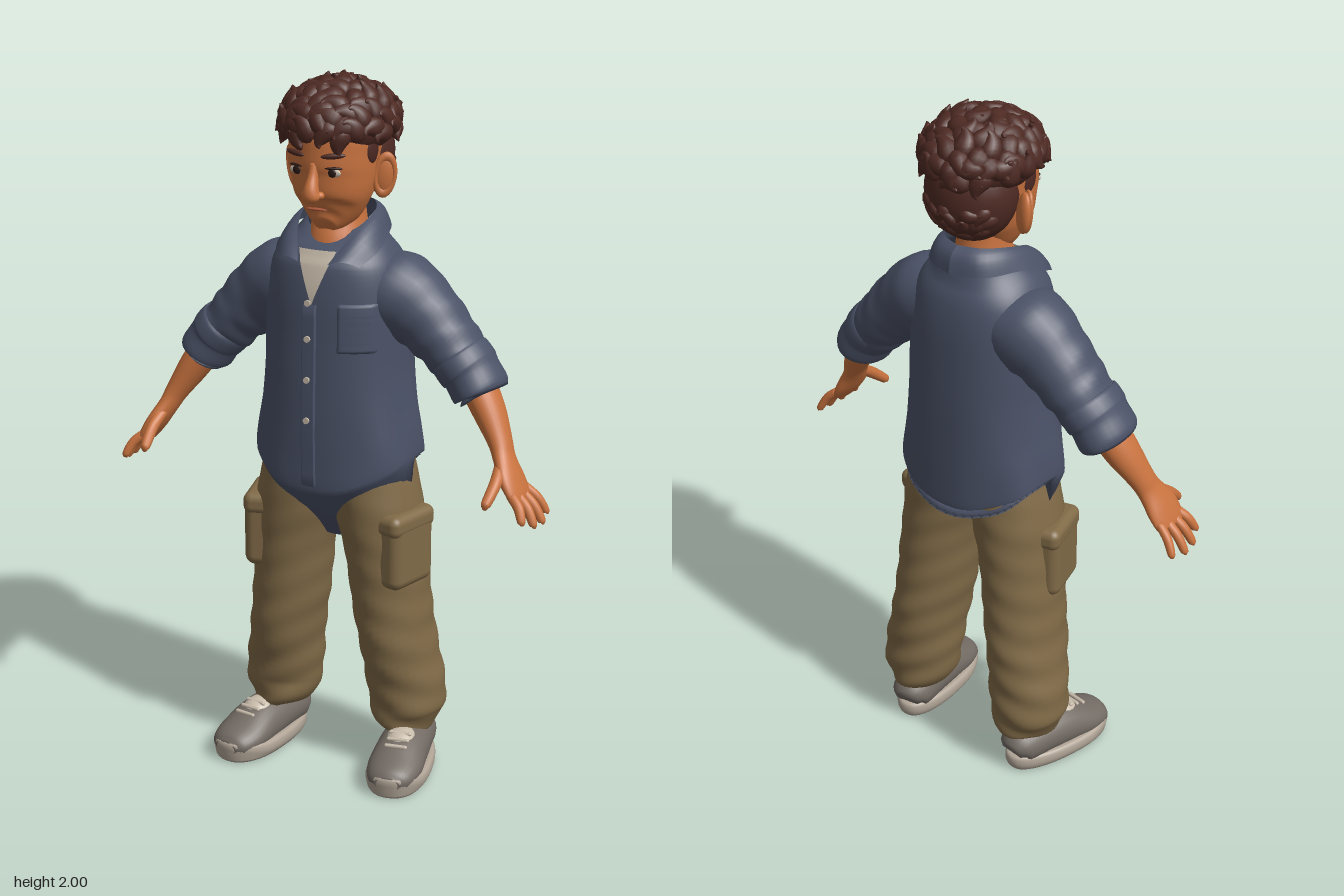
import * as THREE from 'three';
import { RoundedBoxGeometry } from 'three/addons/geometries/RoundedBoxGeometry.js';

const V = (x, y, z) => new THREE.Vector3(x, y, z);
const mat = (name, color, side = THREE.FrontSide) => {
  const m = new THREE.MeshStandardMaterial({ color, side });
  m.name = name;
  return m;
};

// Rows are [x, y, z, ra, rb]: a smooth resampling of centres and radii
function smooth(rows, n) {
  const c = new THREE.CatmullRomCurve3(rows.map(r => V(r[0], r[1], r[2])));
  const s = new THREE.CatmullRomCurve3(rows.map(r => V(r[3], r[4], 0)));
  c.curveType = s.curveType = 'catmullrom';
  return Array.from({ length: n + 1 }, (_, i) => {
    const p = c.getPoint(i / n), r = s.getPoint(i / n);
    return [p.x, p.y, p.z, Math.max(r.x, 0.001), Math.max(r.y, 0.001)];
  });
}

function build(pos, idx) {
  const g = new THREE.BufferGeometry();
  g.setAttribute('position', new THREE.Float32BufferAttribute(pos, 3));
  g.setIndex(idx);
  g.computeVertexNormals();
  return g;
}

// Superelliptical tube through rows; ra runs along ref, rb across it
function loft(rows, { n = 24, seg = 28, ref = V(0, 0, 1), pow = 2, caps = true, bend } = {}) {
  const rings = smooth(rows, n), pos = [], idx = [];
  const pt = i => V(...rings[Math.min(Math.max(i, 0), n)].slice(0, 3));
  const se = w => Math.sign(w) * Math.abs(w) ** (2 / pow);
  rings.forEach((r, i) => {
    const t = pt(i + 1).sub(pt(i - 1)).normalize();
    const u = ref.clone().addScaledVector(t, -ref.dot(t)).normalize();
    const v = t.clone().cross(u);
    for (let j = 0; j < seg; j++) {
      const a = j / seg * Math.PI * 2;
      const p = pt(i).addScaledVector(u, r[3] * se(Math.cos(a))).addScaledVector(v, r[4] * se(Math.sin(a)));
      if (bend) bend(p, a, i / n);
      pos.push(p.x, p.y, p.z);
      if (i < n) {
        const A = i * seg + j, B = i * seg + (j + 1) % seg;
        idx.push(A, B, B + seg, A, B + seg, A + seg);
      }
    }
  });
  if (caps) {
    const k = pos.length / 3, last = n * seg;
    pos.push(...pt(0).toArray(), ...pt(n).toArray());
    for (let j = 0; j < seg; j++) {
      const q = (j + 1) % seg;
      idx.push(k, q, j, k + 1, last + j, last + q);
    }
  }
  return build(pos, idx);
}

// Open sheet from a function of u and v
function sheet(fn, nu = 12, nv = 12) {
  const pos = [], idx = [], w = nu + 1;
  for (let j = 0; j <= nv; j++) for (let i = 0; i <= nu; i++) {
    pos.push(...fn(i / nu, j / nv));
    if (i < nu && j < nv) {
      const a = j * w + i;
      idx.push(a, a + 1, a + w + 1, a, a + w + 1, a + w);
    }
  }
  return build(pos, idx);
}

const ball = (x, y, z, rx, ry, rz) => new THREE.SphereGeometry(1, 28, 20).scale(rx, ry, rz).translate(x, y, z);

function mirrored(geo) {
  const g = geo.clone().scale(-1, 1, 1);
  if (!g.index) g.setIndex([...Array(g.attributes.position.count).keys()]);
  const a = g.index.array;
  for (let i = 0; i < a.length; i += 3) [a[i + 1], a[i + 2]] = [a[i + 2], a[i + 1]];
  return g;
}

export function createModel() {
  const model = new THREE.Group();
  model.name = 'standingMan';
  const skin = mat('skin', 0xc9733f), hair = mat('hair', 0x4e2a23);
  const shirt = mat('shirt', 0x4b5267, THREE.DoubleSide), pants = mat('trousers', 0x806a47);
  const cream = mat('cream', 0xc8bcab, THREE.DoubleSide), shoe = mat('shoeGrey', 0x736b64);
  const sole = mat('sole', 0xb0a496), dark = mat('eyeDark', 0x2b1a15), lip = mat('lip', 0xa9573a);
  const add = (name, geo, m) => {
    const mesh = new THREE.Mesh(geo, m);
    mesh.name = name;
    model.add(mesh);
  };
  const pair = (name, geo, m) => {
    add(name + 'Left', geo, m);
    add(name + 'Right', mirrored(geo), m);
  };

  // Shirt body with a curved hem and a neckline lower at the front
  const row = (y, rx, f, b) => [0, y, (f + b) / 2, (f - b) / 2, rx];
  const body = [row(0.965, 0.215, 0.135, -0.185), row(0.95, 0.236, 0.158, -0.203), row(1.02, 0.23, 0.16, -0.205),
    row(1.1, 0.217, 0.16, -0.203), row(1.2, 0.206, 0.157, -0.2), row(1.3, 0.204, 0.153, -0.196),
    row(1.4, 0.2, 0.15, -0.19), row(1.48, 0.187, 0.14, -0.178), row(1.535, 0.16, 0.12, -0.165),
    row(1.585, 0.115, 0.085, -0.148), row(1.63, 0.095, 0.05, -0.13)];
  add('shirtBody', loft(body, { n: 50, seg: 56, pow: 2.3, caps: false, bend: (p, a) => {
    const low = THREE.MathUtils.clamp((1.2 - p.y) / 0.25, 0, 1), front = Math.max(0, Math.cos(a));
    p.x += 0.004 * low * Math.sin(a * 7 + p.y * 14);
    p.z += 0.003 * low * Math.cos(a * 6 - p.y * 17);
    if (p.y > 1.5) p.y -= (p.y - 1.5) * 0.5 * front;
    p.y -= 0.085 * low * Math.cos(a) ** 2;
  } }), shirt);

  // Sheets lying on the shirt front
  const bodyRows = smooth(body.slice(1), 60);
  const onShirt = (x, y, off) => {
    const k = bodyRows.find(r => r[1] >= y) || bodyRows[60];
    return [x, y, k[2] + k[3] * (1 - Math.min(1, Math.abs(x / k[4])) ** 2.3) ** (1 / 2.3) + off];
  };
  const panel = (x0, x1, y0, y1, off) => sheet((u, v) => {
    const edge = u === 0 || u === 1 || v === 0 || v === 1;
    return onShirt(x0 + (x1 - x0) * u, y0 + (y1 - y0) * v, edge ? -0.004 : off);
  }, 14, 24);
  add('placket', panel(-0.032, 0.014, 0.872, 1.41, 0.006), shirt);
  add('chestPocket', panel(0.07, 0.17, 1.27, 1.41, 0.009), shirt);
  add('undershirt', sheet((u, v) => onShirt((2 * u - 1) * 0.056 * v, 1.4 + 0.145 * v, 0.007), 10, 14), cream);
  for (const y of [1.405, 1.305, 1.19, 1.075]) {
    const p = onShirt(-0.01, y, 0.009);
    add('button', new THREE.CylinderGeometry(0.009, 0.009, 0.006, 12).rotateX(Math.PI / 2).translate(...p), cream);
  }

  // Collar wings
  const top = new THREE.CatmullRomCurve3([V(0, 1.645, -0.132), V(0.062, 1.643, -0.105), V(0.1, 1.63, -0.03), V(0.086, 1.595, 0.06), V(0.045, 1.515, 0.147)]);
  const low = new THREE.CatmullRomCurve3([V(0, 1.575, -0.17), V(0.09, 1.578, -0.14), V(0.14, 1.575, -0.04), V(0.15, 1.54, 0.06), V(0.125, 1.51, 0.118)]);
  pair('collar', sheet((u, v) => {
    const p = low.getPoint(u).lerp(top.getPoint(u), v);
    p.y += 0.012 * Math.sin(v * Math.PI);
    p.z += 0.008 * Math.sin(v * Math.PI) * Math.sign(u - 0.5);
    return p.toArray();
  }, 20, 6), shirt);

  // Sleeves with soft folds and rolled cuffs
  pair('sleeve', loft([[0.08, 1.43, -0.03, 0.12, 0.09], [0.17, 1.405, -0.035, 0.122, 0.12], [0.25, 1.355, -0.037, 0.105, 0.103],
    [0.32, 1.29, -0.036, 0.1, 0.086], [0.38, 1.225, -0.03, 0.09, 0.077]], { n: 36, bend: (p, a, t) => {
    p.y += 0.006 * t * Math.sin(t * 34 + Math.cos(a) * 2);
  } }), shirt);
  pair('cuff', loft([[0.35, 1.265, -0.031, 0.07, 0.06], [0.355, 1.258, -0.031, 0.097, 0.08], [0.385, 1.225, -0.028, 0.1, 0.082],
    [0.395, 1.213, -0.027, 0.094, 0.077], [0.422, 1.173, -0.024, 0.097, 0.077], [0.428, 1.163, -0.023, 0.085, 0.065], [0.42, 1.175, -0.024, 0.05, 0.045]]), shirt);

  // Forearms, hands, fingers and thumbs
  pair('forearm', loft([[0.4, 1.21, -0.025, 0.06, 0.05], [0.455, 1.125, -0.005, 0.054, 0.044], [0.5, 1.05, 0.02, 0.042, 0.032],
    [0.52, 1.01, 0.035, 0.043, 0.027], [0.55, 0.96, 0.052, 0.06, 0.025], [0.578, 0.915, 0.058, 0.057, 0.018], [0.585, 0.905, 0.058, 0.035, 0.01]]), skin);
  const finger = (a, b, r) => loft([[...a, r, r], [(a[0] + b[0]) / 2 + 0.006, (a[1] + b[1]) / 2 + 0.004, (a[2] + b[2]) / 2, r, r],
    [...b, r * 0.8, r * 0.8], [b[0], b[1] - 0.006, b[2], r * 0.3, r * 0.3]], { n: 12, seg: 12 });
  [[[0.572, 0.93, 0.012], [0.628, 0.862, -0.006], 0.013], [[0.574, 0.925, 0.042], [0.636, 0.852, 0.044], 0.014],
    [[0.574, 0.925, 0.073], [0.63, 0.855, 0.09], 0.014], [[0.568, 0.93, 0.1], [0.612, 0.872, 0.13], 0.014],
    [[0.522, 1.0, 0.06], [0.524, 0.92, 0.168], 0.017]].forEach((f, i) => pair(i < 4 ? 'finger' : 'thumb', finger(...f), skin));

  // Trousers
  add('trouserSeat', ball(0, 0.91, -0.02, 0.2, 0.135, 0.145), pants);
  pair('trouserLeg', loft([[0.205, 0.125, -0.055, 0.085, 0.07], [0.205, 0.135, -0.055, 0.104, 0.086], [0.2, 0.17, -0.058, 0.117, 0.1],
    [0.198, 0.22, -0.06, 0.118, 0.112], [0.188, 0.3, -0.053, 0.125, 0.108], [0.174, 0.4, -0.042, 0.137, 0.104], [0.16, 0.5, -0.035, 0.135, 0.108],
    [0.15, 0.6, -0.03, 0.136, 0.11], [0.138, 0.7, -0.025, 0.139, 0.112], [0.122, 0.8, -0.02, 0.144, 0.12], [0.105, 0.9, -0.02, 0.148, 0.112],
    [0.1, 1, -0.02, 0.145, 0.1]], { n: 60, seg: 36, bend: (p, a, t) => {
    const k = 0.006 * Math.exp(-t * 2.2) * Math.sin(p.y * 62 + Math.sin(a) * 3);
    p.x += k * Math.sin(a);
    p.z += k * 1.3 * Math.cos(a);
  } }), pants);
  pair('cargoPocket', new RoundedBoxGeometry(0.09, 0.2, 0.17, 4, 0.03).rotateY(-0.25).translate(0.219, 0.685, 0.02), pants);
  pair('pocketFlap', new RoundedBoxGeometry(0.096, 0.065, 0.182, 4, 0.025).rotateY(-0.25).translate(0.217, 0.775, 0.02), pants);

  // Shoes, turned slightly outwards
  const place = g => g.rotateY(0.17).translate(0.228, 0, 0.03);
  const up = V(0, 1, 0);
  pair('shoeUpper', place(loft([[0, 0.06, -0.176, 0.025, 0.035], [0, 0.075, -0.15, 0.058, 0.06], [0, 0.08, -0.06, 0.065, 0.07], [0, 0.073, 0.02, 0.067, 0.075],
    [0, 0.058, 0.1, 0.05, 0.078], [0, 0.048, 0.155, 0.038, 0.062], [0, 0.045, 0.178, 0.02, 0.035]], { ref: up })), shoe);
  pair('shoeSole', place(loft([[0, 0.001, 0, 0.165, 0.066], [0, 0.003, 0, 0.174, 0.076], [0, 0.02, 0, 0.183, 0.086], [0, 0.04, 0, 0.184, 0.086], [0, 0.05, 0, 0.176, 0.078],
    [0, 0.05, 0, 0.15, 0.06]], { n: 16, seg: 40, pow: 2.3, bend: p => {
    p.x *= 1 + 0.9 * p.z;
    if (p.y > 0.015) p.y += Math.max(0, p.z - 0.08) * 0.17;
  } })), sole);
  pair('shoeTongue', place(ball(0, 0.122, 0.008, 0.042, 0.026, 0.05).rotateX(0.1)), cream);
  for (let i = 0; i < 3; i++) {
    pair('lace', place(new THREE.CapsuleGeometry(0.006, 0.055, 4, 8).rotateZ(Math.PI / 2).translate(0, 0.139 - i * 0.009, 0.035 + i * 0.025)), cream);
  }

  // Neck and head
  add('neck', loft([[0, 1.5, -0.01, 0.1, 0.1], [0, 1.56, -0.018, 0.094, 0.083], [0, 1.63, -0.022, 0.073, 0.071], [0, 1.72, -0.02, 0.07, 0.07]]), skin);
  add('head', loft([[0, 1.603, 0.075, 0.026, 0.03], [0, 1.62, 0.055, 0.06, 0.06], [0, 1.65, 0.035, 0.09, 0.088], [0, 1.69, 0.024, 0.114, 0.107],
    [0, 1.74, 0.013, 0.13, 0.117], [0, 1.79, 0.008, 0.14, 0.121], [0, 1.84, 0, 0.148, 0.124], [0, 1.9, -0.012, 0.135, 0.112], [0, 1.94, -0.015, 0.08, 0.07]], { n: 40, seg: 36 }), skin);
  add('nose', loft([[0, 1.785, 0.135, 0.012, 0.012], [0, 1.75, 0.142, 0.016, 0.014], [0, 1.715, 0.153, 0.022, 0.021],
    [0, 1.697, 0.152, 0.023, 0.026], [0, 1.688, 0.145, 0.012, 0.015]]), skin);
  pair('nostril', ball(0.021, 1.7, 0.143, 0.012, 0.011, 0.013), skin);
  add('mouth', ball(0, 1.657, 0.122, 0.032, 0.004, 0.007), lip);
  pair('ear', ball(0, 0, 0, 0.032, 0.06, 0.018).rotateY(0.55).rotateZ(-0.12).translate(0.134, 1.735, -0.022), skin);
  pair('earRim', new THREE.TorusGeometry(0.026, 0.007, 8, 24).scale(1, 1.95, 1).rotateY(0.55).rotateZ(-0.12).translate(0.137, 1.737, -0.013), skin);
  pair('eyeWhite', ball(0.053, 1.762, 0.128, 0.022, 0.012, 0.007), cream);
  pair('iris', ball(0.052, 1.762, 0.133, 0.012, 0.012, 0.005), dark);
  pair('upperLid', ball(0, 0, 0, 0.025, 0.004, 0.007).rotateY(0.3).translate(0.054, 1.774, 0.13), dark);
  pair('eyebrow', ball(0, 0, 0, 0.033, 0.008, 0.008).rotateZ(0.08).rotateY(0.35).translate(0.056, 1.808, 0.135), hair);

  // Hair mass, sideburns and swirling locks
  add('hairTop', ball(0, 1.87, -0.02, 0.148, 0.1, 0.165), hair);
  add('hairBack', ball(0, 1.785, -0.07, 0.13, 0.14, 0.118), hair);
  pair('sideburn', ball(0.113, 1.815, 0.02, 0.014, 0.045, 0.032), hair);
  let seed = 11;
  const rnd = () => (seed = (seed * 16807) % 2147483647) / 2147483647;
  const lock = (c, r, d, size) => {
    const p = d.clone().multiply(r).add(c);
    const t = V(rnd() - 0.5, rnd() - 0.7, rnd() - 0.3).cross(d).normalize(), b = d.clone().cross(t);
    const step = (k, o, s, w) => {
      const q = p.clone().addScaledVector(t, k * size).addScaledVector(d, o * size).addScaledVector(b, s * size);
      return [...q.toArray(), w * size * 0.75, w * size];
    };
    add('hairLock', loft([step(-1, -0.4, 0, 0.3), step(-0.4, 0.1, 0.1, 0.85), step(0.4, 0.25, 0.4, 0.8),
      step(0.95, 0.4, 0.95, 0.4), step(1, 0.6, 1.35, 0.06)], { n: 12, seg: 10, ref: d }), hair);
  };
  const count = 150;
  for (let i = 0; i < count; i++) {
    const y = 1 - 2 * (i + 0.5) / count, a = i * 2.39996, s = Math.sqrt(1 - y * y);
    const d = V(s * Math.cos(a), y, s * Math.sin(a));
    if (y > -0.12) lock(V(0, 1.868, -0.02), V(0.142, 0.1, 0.158), d, 0.032);
    else if (d.z < -0.3 && y > -0.75) lock(V(0, 1.79, -0.07), V(0.118, 0.125, 0.108), d, 0.024);
  }
  return model;
}
